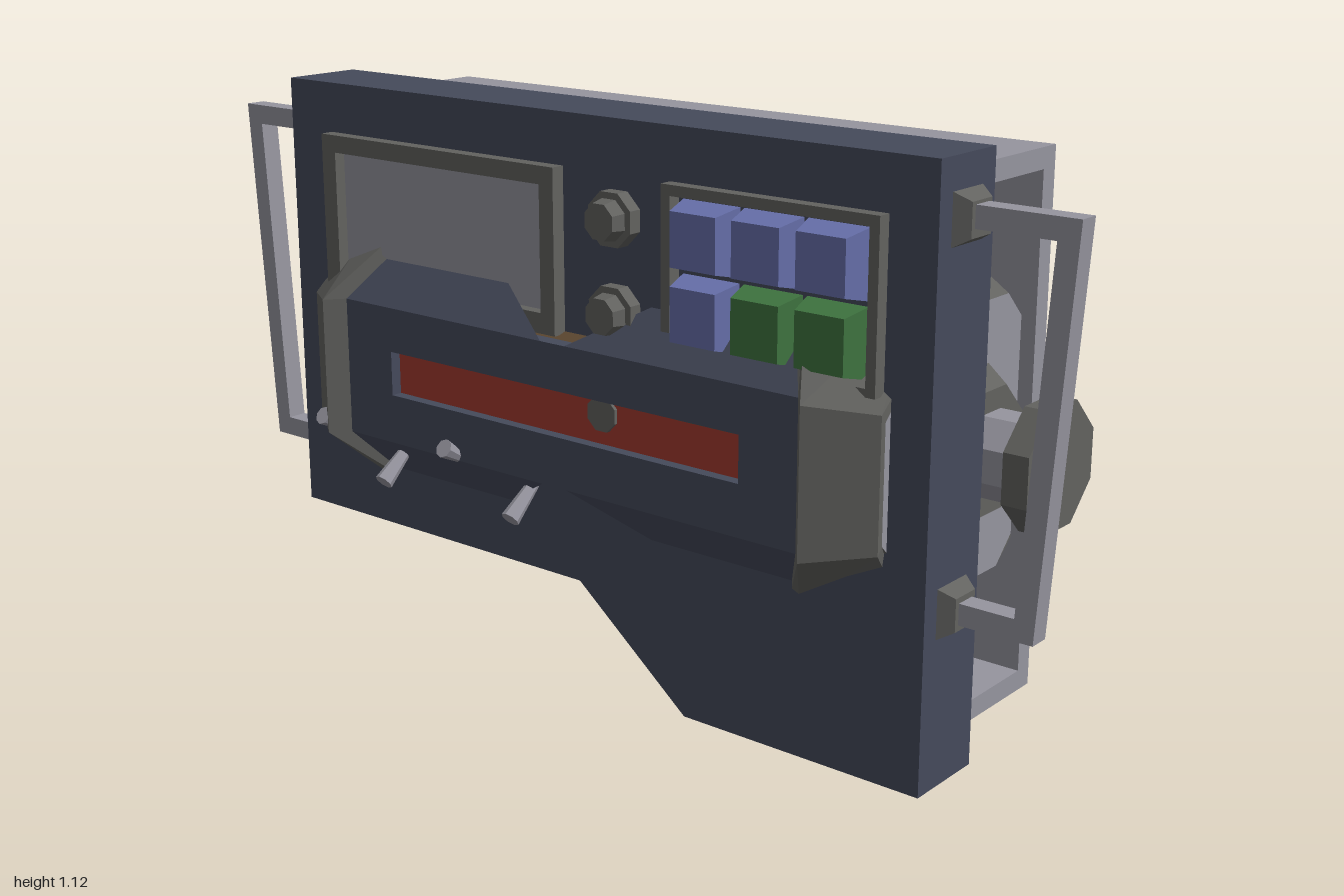
import * as THREE from 'three';

const mat = (name, color) => new THREE.MeshStandardMaterial({ name, color, flatShading: true, side: THREE.DoubleSide });
const CY = 0.56; // height of the long octagonal housing's axis

export function createModel() {
  const root = new THREE.Group();
  root.name = 'controlUnit';
  const navy = mat('navy', 0x454a5b), light = mat('lightGrey', 0x96959f), dark = mat('darkGrey', 0x62625f);
  const red = mat('red', 0xa3392f), blue = mat('blue', 0x6770ab), green = mat('green', 0x3f7440), brown = mat('brown', 0x5c4730);

  const add = (name, geo, m, x = 0, y = 0, z = 0, parent = root) => {
    const mesh = new THREE.Mesh(geo, m);
    mesh.name = name;
    mesh.position.set(x, y, z);
    parent.add(mesh);
    return mesh;
  };
  // box given by its limits
  const box = (name, m, x0, x1, y0, y1, z0, z1, parent) =>
    add(name, new THREE.BoxGeometry(x1 - x0, y1 - y0, z1 - z0), m, (x0 + x1) / 2, (y0 + y1) / 2, (z0 + z1) / 2, parent);
  const poly = pts => new THREE.Shape(pts.map(p => new THREE.Vector2(...p)));
  const rect = (x0, x1, y0, y1) => [[x0, y0], [x1, y0], [x1, y1], [x0, y1]];
  const extrude = (pts, depth, hole) => {
    const s = poly(pts);
    if (hole) s.holes.push(poly(hole));
    return new THREE.ExtrudeGeometry(s, { depth, bevelEnabled: false });
  };
  // octagonal prism along y, flat sides facing the axes; sizes are across-flats radii
  const K = Math.cos(Math.PI / 8);
  const octPrism = (top, bottom, h) => new THREE.CylinderGeometry(top / K, bottom / K, h, 8, 1, false, Math.PI / 8);
  const octagon = (r, sx = 1) => Array.from({ length: 8 }, (_, i) => {
    const a = (i + 0.5) * Math.PI / 4;
    return [Math.cos(a) * r / K * sx, Math.sin(a) * r / K];
  });
  // square frustum along y, unit base
  const frustum = (w, d, h, top) =>
    new THREE.CylinderGeometry(Math.SQRT1_2 * top, Math.SQRT1_2, 1, 4, 1, false, Math.PI / 4).scale(w, h, d);
  const fromTriangles = pts => {
    const g = new THREE.BufferGeometry();
    g.setAttribute('position', new THREE.Float32BufferAttribute(pts.flat(), 3));
    g.computeVertexNormals();
    return g;
  };
  // eight-sided section: side corners [x, z, y] and upper/lower corners [x, z, y]
  const ring = ([xa, za, ya], [xb, zb, yb]) => [
    [xa, CY - ya, za], [xa, CY + ya, za], [xb, CY + yb, zb], [xb, CY + yb, -zb],
    [xa, CY + ya, -za], [xa, CY - ya, -za], [xb, CY - yb, -zb], [xb, CY - yb, zb]];
  const loft = (rings, skip = []) => {
    const pts = [];
    for (let r = 0; r + 1 < rings.length; r++) for (let i = 0; i < 8; i++) {
      if (skip.includes(i)) continue;
      const j = (i + 1) % 8, [a, b, c, d] = [rings[r][i], rings[r][j], rings[r + 1][j], rings[r + 1][i]];
      pts.push(a, d, c, a, c, b);
    }
    return fromTriangles(pts);
  };

  // front panel and rear case
  add('frontPanel', extrude([[-0.78, 1.12], [-0.78, 0.21], [0, 0.21], [0.26, 0], [0.78, 0], [0.78, 1.12]], 0.17), navy, 0, 0, 0.085);
  add('rearCase', extrude([[-0.62, 1.08], [-0.62, 0.25], [0.02, 0.25], [0.28, 0.04], [0.62, 0.04], [0.62, 1.08]], 0.295), light, 0, 0, -0.21);
  add('underCollar', octPrism(0.15, 0.115, 0.045), dark, -0.44, 0.23, -0.06);

  // housing faces with a recessed red strip, front and back
  for (const s of [1, -1]) {
    const face = new THREE.Group();
    face.name = s > 0 ? 'frontHousingFace' : 'backHousingFace';
    if (s < 0) face.rotation.y = Math.PI;
    root.add(face);
    add('facePlate', extrude(rect(-0.56, 0.56, CY - 0.14, CY + 0.14), 0.03, rect(-0.435, 0.435, 0.52, 0.61)), navy, 0, 0, 0.295, face);
    box('redStrip', red, -0.45, 0.45, 0.51, 0.62, 0.296, 0.302, face);
  }
  add('housingCore', loft([-0.31, 0.31].map(x => ring([x, 0.29, 0.135], [x, 0.2, 0.16]))), brown);
  const notch = [];
  for (const sx of [1, -1]) for (const sy of [1, -1]) for (const sz of [1, -1])
    notch.push([0.03 * sx, CY + 0.14 * sy, 0.325 * sz], [0.3 * sx, CY + 0.29 * sy, 0.2 * sz], [0.3 * sx, CY + 0.13 * sy, 0.2 * sz]);
  add('notchWalls', fromTriangles(notch), brown);

  // everything repeated on both ends
  for (const s of [1, -1]) {
    const end = new THREE.Group();
    end.name = s > 0 ? 'leftEnd' : 'rightEnd';
    end.scale.x = s;
    root.add(end);
    const low = s > 0 ? 0.04 : 0.25;

    // rim around the recessed case end
    box('caseRimBack', light, 0.62, 0.73, low, 1.08, -0.21, -0.17, end);
    box('caseRimTop', light, 0.62, 0.73, 1.04, 1.08, -0.17, 0.085, end);
    box('caseRimBottom', light, 0.62, 0.73, low, low + 0.04, -0.17, 0.085, end);

    // housing slopes and flared end cap
    const inner = ring([0.56, 0.325, 0.14], [0.46, 0.2, 0.29]);
    add('housingSlopes', loft([ring([0.03, 0.325, 0.14], [0.3, 0.2, 0.29]), inner], [0, 4]), navy, 0, 0, 0, end);
    const rim = ring([0.7, 0.27, 0.11], [0.7, 0.12, 0.26]);
    add('endCap', loft([inner, ring([0.59, 0.362, 0.14], [0.49, 0.21, 0.29]),
      ring([0.7, 0.282, 0.125], [0.655, 0.12, 0.29]), rim]), dark, 0, 0, 0, end);
    const lid = [];
    for (let i = 1; i < 7; i++) lid.push(rim[0], rim[i + 1], rim[i]);
    add('endCapLid', fromTriangles(lid), light, 0, 0, 0, end);

    // side knob
    for (const [name, top, bottom, x0, x1, m] of [
      ['knobCollar', 0.115, 0.15, 0.69, 0.745, dark], ['knobShaft', 0.075, 0.075, 0.74, 0.83, light],
      ['knobGrip', 0.113, 0.113, 0.835, 0.885, dark]])
      add(name, octPrism(top, bottom, x1 - x0), m, (x0 + x1) / 2, CY, 0, end).rotation.z = -Math.PI / 2;

    // carrying handle with its mounts
    add('handle', extrude([[0.78, 1.04], [1, 1.04], [0.952, 0.31], [0.78, 0.31], [0.78, 0.35],
      [0.915, 0.35], [0.957, 1], [0.78, 1]], 0.042), light, 0, 0, 0.149, end);
    for (const y of [1.015, 0.33])
      add('handleMount', frustum(0.095, 0.095, 0.03, 0.65), dark, 0.793, y, 0.17, end).rotation.z = -Math.PI / 2;
  }

  // rear port: tapered base and open ring
  add('rearPortBase', extrude(octagon(0.25, 0.8), 0.085, octagon(0.17, 0.8)), dark, 0, 0.655, -0.285);
  add('rearPortRing', extrude(octagon(0.2), 0.08, octagon(0.155)), dark, 0, 0.655, -0.367);

  // screen
  add('screenFrame', extrude(rect(-0.66, -0.03, 0.7, 1.02), 0.03, rect(-0.622, -0.065, 0.74, 0.985)), dark, 0, 0, 0.254);
  box('screen', light, -0.63, -0.06, 0.73, 0.99, 0.254, 0.26);

  // push buttons
  add('buttonFrame', extrude(rect(0.225, 0.685, 0.71, 1.02), 0.028, rect(0.245, 0.665, 0.725, 1.0)), dark, 0, 0, 0.254);
  for (let row = 0; row < 2; row++) for (let col = 0; col < 3; col++) {
    const isGreen = row === 1 && col > 0;
    add('button', frustum(0.126, 0.126, 0.055, 0.8), isGreen ? green : blue,
      0.318 + col * 0.135, 0.93 - row * 0.135, 0.282).rotation.x = Math.PI / 2;
  }

  // small front knobs
  for (const y of [0.94, 0.765]) {
    add('dialBase', octPrism(0.05, 0.05, 0.03), dark, 0.105, y, 0.268).rotation.x = Math.PI / 2;
    add('dial', octPrism(0.033, 0.038, 0.03), dark, 0.105, y, 0.297).rotation.x = Math.PI / 2;
  }
  add('stripDial', octPrism(0.033, 0.033, 0.01), dark, 0.105, 0.58, 0.304).rotation.x = Math.PI / 2;
  box('stripMark', green, 0.27, 0.41, 0.602, 0.61, 0.301, 0.305);

  // toggle levers
  [-0.61, -0.435, -0.26, -0.085].forEach((x, i) => {
    const from = new THREE.Vector3(x, i % 2 ? 0.4 : 0.425, i % 2 ? 0.29 : 0.315);
    const to = new THREE.Vector3(x, i % 2 ? 0.345 : 0.452, 0.358);
    const dir = to.clone().sub(from);
    const lever = add('toggleLever', new THREE.CylinderGeometry(0.019, 0.012, dir.length(), 8), light);
    lever.position.copy(from).add(to).multiplyScalar(0.5);
    lever.quaternion.setFromUnitVectors(new THREE.Vector3(0, 1, 0), dir.normalize());
  });
  return root;
}
